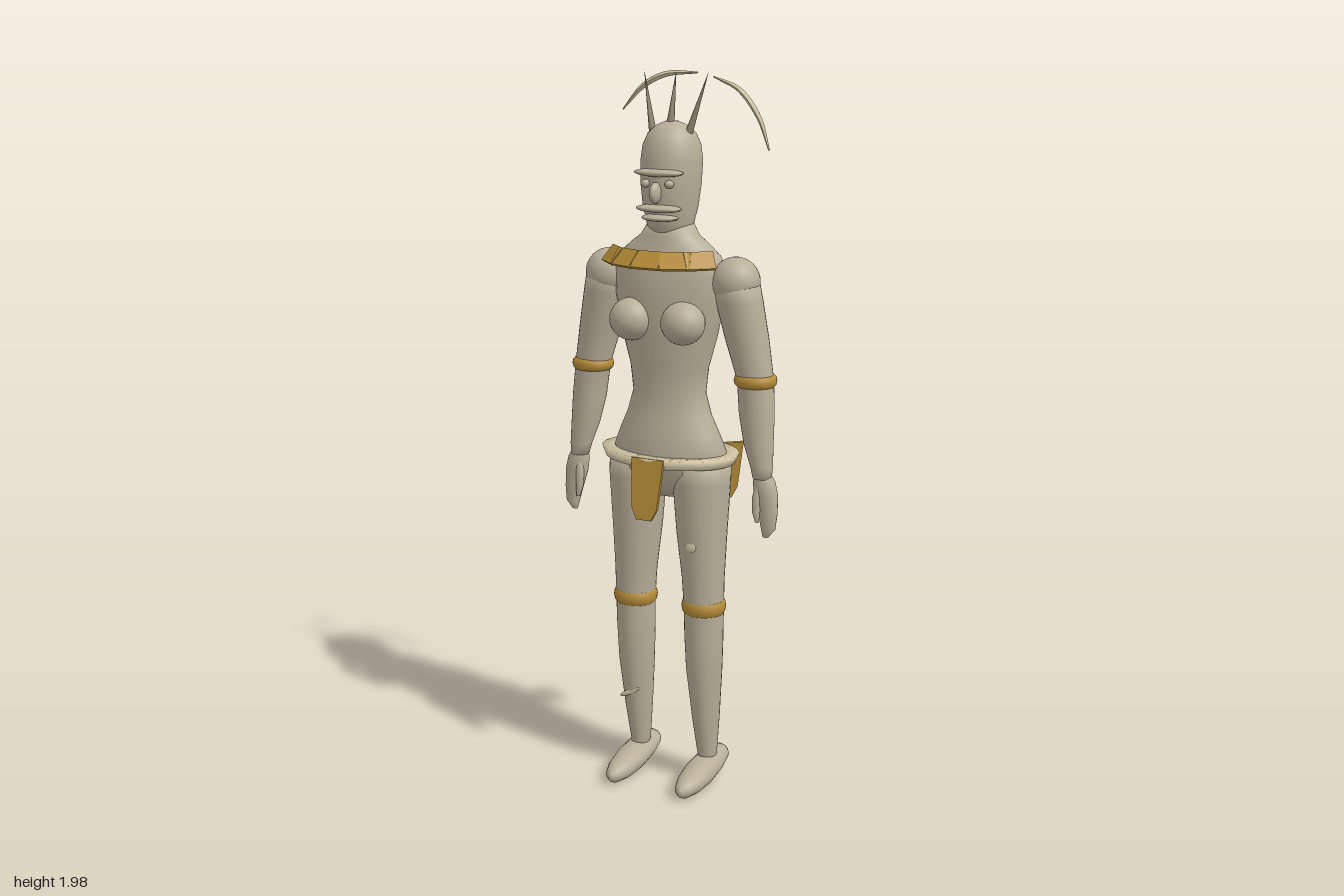
import * as THREE from 'three';

const mat = (name, color, side = THREE.FrontSide) => {
  const m = new THREE.MeshStandardMaterial({ color, side });
  m.name = name;
  return m;
};

// Closed body through elliptical sections [y, centreX, centreZ, radiusX, radiusZ], from bottom to top
function loft(rows, n = 28) {
  const pos = [], idx = [];
  for (const [y, cx, cz, rx, rz] of rows)
    for (let j = 0; j < n; j++) {
      const t = (j / n) * Math.PI * 2;
      pos.push(cx + rx * Math.sin(t), y, cz + rz * Math.cos(t));
    }
  for (let i = 0; i < rows.length - 1; i++)
    for (let j = 0; j < n; j++) {
      const a = i * n + j, b = i * n + (j + 1) % n;
      idx.push(a, b, b + n, a, b + n, a + n);
    }
  const last = rows.length - 1, c = rows.length * n;
  pos.push(rows[0][1], rows[0][0], rows[0][2], rows[last][1], rows[last][0], rows[last][2]);
  for (let j = 0; j < n; j++) {
    const k = (j + 1) % n;
    idx.push(c, k, j, c + 1, last * n + j, last * n + k);
  }
  const g = new THREE.BufferGeometry();
  g.setAttribute('position', new THREE.Float32BufferAttribute(pos, 3));
  g.setIndex(idx);
  g.computeVertexNormals();
  return g;
}

// Sections given as [y, halfWidth, front z, back z]
const centred = rows => rows.map(([y, w, f, b]) => [y, 0, (f + b) / 2, w, (f - b) / 2]);
// Mirror sections to the other side
const sided = (rows, s) => rows.map(([y, x, ...r]) => [y, s * x, ...r]);

export function createModel() {
  const model = new THREE.Group();
  const skin = mat('stone skin', 0xb8ae99);
  const gold = mat('gold', 0xb58c38);
  const pale = mat('pale cream', 0xd2c5a4);
  const horn = mat('dark horn', 0x857b66);

  const add = (name, geo, m, p = [0, 0, 0], r = [0, 0, 0], order = 'YXZ') => {
    const mesh = new THREE.Mesh(geo, m);
    mesh.name = name;
    mesh.position.set(...p);
    mesh.rotation.set(...r, order);
    model.add(mesh);
    return mesh;
  };
  const blob = (name, m, p, size, r) =>
    add(name, new THREE.SphereGeometry(1, 24, 16), m, p, r).scale.set(...size);

  // Torso from the crotch to the neck
  add('torso', loft(centred([
    [0.85, 0.05, 0.04, -0.045], [0.88, 0.1, 0.07, -0.075], [0.93, 0.155, 0.1, -0.1],
    [0.98, 0.165, 0.1, -0.1], [1.03, 0.145, 0.094, -0.087], [1.08, 0.122, 0.084, -0.075],
    [1.14, 0.105, 0.076, -0.068], [1.21, 0.113, 0.08, -0.073], [1.3, 0.138, 0.09, -0.086],
    [1.4, 0.158, 0.092, -0.092], [1.47, 0.162, 0.085, -0.086], [1.51, 0.148, 0.075, -0.077],
    [1.54, 0.115, 0.067, -0.068], [1.565, 0.082, 0.06, -0.062], [1.6, 0.06, 0.055, -0.06],
  ]), 36), skin);

  // Head and face
  add('head', loft(centred([
    [1.56, 0.058, 0.055, -0.058], [1.6, 0.064, 0.064, -0.066], [1.64, 0.073, 0.075, -0.08],
    [1.7, 0.08, 0.08, -0.09], [1.76, 0.082, 0.078, -0.095], [1.8, 0.077, 0.071, -0.09],
    [1.83, 0.064, 0.056, -0.076], [1.85, 0.043, 0.035, -0.053], [1.861, 0.018, 0.008, -0.026],
  ]), 32), skin);
  blob('brow', skin, [0, 1.733, 0.066], [0.072, 0.011, 0.031]);
  blob('nose', skin, [0, 1.682, 0.085], [0.014, 0.028, 0.025]);
  blob('upperLip', skin, [0, 1.64, 0.066], [0.066, 0.011, 0.034]);
  blob('lowerLip', skin, [0, 1.615, 0.06], [0.052, 0.01, 0.034]);
  for (const s of [-1, 1]) blob('eye', skin, [s * 0.035, 1.705, 0.074], [0.013, 0.011, 0.012]);

  // Three horns on the crown
  for (const s of [-1, 0, 1]) {
    const a = new THREE.Vector3(s * 0.05, s ? 1.82 : 1.85, 0), b = new THREE.Vector3(s * 0.095, 1.99, -0.034);
    const dir = b.clone().sub(a);
    const m = add('horn', new THREE.ConeGeometry(0.011, dir.length(), 10), horn);
    m.position.copy(a).lerp(b, 0.5);
    m.quaternion.setFromUnitVectors(new THREE.Vector3(0, 1, 0), dir.normalize());
  }

  // Curved plumes behind the head, tapered to their ends
  const plumes = [
    [[-0.2, 1.88], [-0.137, 1.944], [-0.068, 1.976], [0.027, 1.982]],
    [[0.073, 1.972], [0.148, 1.94], [0.205, 1.87], [0.236, 1.785]],
  ];
  for (const pts of plumes) {
    const curve = new THREE.CatmullRomCurve3(pts.map(([x, y]) => new THREE.Vector3(x, y, -0.108)));
    const g = new THREE.TubeGeometry(curve, 24, 0.008, 8);
    const p = g.attributes.position;
    for (let i = 0; i < p.count; i++) {
      const t = Math.floor(i / 9) / 24, c = curve.getPointAt(t);
      const k = 0.25 + 0.75 * Math.sin(Math.PI * t);
      p.setXYZ(i, c.x + (p.getX(i) - c.x) * k, c.y + (p.getY(i) - c.y) * k, c.z + (p.getZ(i) - c.z) * k);
    }
    g.computeVertexNormals();
    add('plume', g, pale);
  }

  // Collar of five sloping plates
  for (const [x, z, turn] of [[-0.128, 0.083, -0.75], [-0.074, 0.117, -0.38], [0, 0.13, 0],
    [0.074, 0.117, 0.38], [0.128, 0.083, 0.75]])
    add('collarPlate', new THREE.BoxGeometry(0.08, 0.052, 0.01), gold, [x, 1.512, z], [-0.68, turn, 0]);

  // Belt, an oval ring with a slight flare
  const ring = [[0.15, 0.95], [0.188, 0.95], [0.2, 0.977], [0.15, 0.977], [0.15, 0.95]];
  const beltGeo = new THREE.LatheGeometry(ring.map(([x, y]) => new THREE.Vector2(x, y)), 24);
  add('belt', beltGeo, pale).scale.z = 0.69;

  // Hanging tabs, one flat in front and two standing out behind
  const tab = new THREE.Shape([[-0.048, 0], [-0.038, -0.135], [-0.022, -0.167], [0.022, -0.167],
    [0.038, -0.135], [0.048, 0]].map(([x, y]) => new THREE.Vector2(x, y)));
  const tabGeo = new THREE.ExtrudeGeometry(tab, { depth: 0.01, bevelEnabled: false });
  tabGeo.translate(0, 0, -0.005);
  for (const [x, z, turn] of [[0, 0.13, 0], [0.113, -0.122, -2.4], [-0.113, -0.122, 2.4]])
    add('hangingTab', tabGeo, gold, [x, 0.977, z], [-0.15, turn, 0]);

  for (const s of [-1, 1]) {
    blob('breast', skin, [s * 0.077, 1.343, 0.077], [0.06, 0.058, 0.058]);

    // Arm
    blob('shoulder', skin, [s * 0.19, 1.45, -0.008], [0.066, 0.066, 0.064]);
    add('arm', loft(sided([
      [0.93, 0.281, 0.009, 0.026, 0.024], [0.96, 0.278, 0.007, 0.031, 0.028],
      [1.02, 0.266, 0.002, 0.041, 0.035], [1.1, 0.256, -0.006, 0.049, 0.042],
      [1.19, 0.248, -0.013, 0.05, 0.046], [1.3, 0.222, -0.013, 0.06, 0.054],
      [1.4, 0.2, -0.01, 0.064, 0.061], [1.46, 0.19, -0.008, 0.062, 0.062],
    ], s)), skin);
    const band = add('armBand', new THREE.TorusGeometry(0.05, 0.012, 10, 28), gold,
      [s * 0.248, 1.19, -0.013], [Math.PI / 2, 0, 0]);
    band.scale.set(0.95, 0.88, 1.4);
    add('hand', loft(sided([
      [0.768, 0.296, 0.016, 0.008, 0.006], [0.79, 0.303, 0.014, 0.02, 0.014],
      [0.83, 0.3, 0.011, 0.027, 0.019], [0.88, 0.293, 0.008, 0.034, 0.024],
      [0.92, 0.286, 0.007, 0.031, 0.027], [0.95, 0.281, 0.007, 0.018, 0.018],
    ], s), 16), skin);
    add('thumb', loft(sided([
      [0.81, 0.277, 0.03, 0.005, 0.005], [0.84, 0.273, 0.029, 0.011, 0.01],
      [0.88, 0.273, 0.026, 0.012, 0.011], [0.92, 0.277, 0.018, 0.009, 0.009],
    ], s), 12), skin);

    // Leg
    add('leg', loft(sided([
      [0.06, 0.11, -0.024, 0.023, 0.028], [0.09, 0.107, -0.022, 0.027, 0.033],
      [0.2, 0.107, -0.012, 0.038, 0.044], [0.35, 0.107, 0, 0.05, 0.055],
      [0.45, 0.107, 0.003, 0.054, 0.057], [0.54, 0.107, 0.005, 0.056, 0.056],
      [0.62, 0.105, 0.005, 0.059, 0.06], [0.75, 0.1, 0.004, 0.069, 0.074],
      [0.9, 0.098, 0.003, 0.079, 0.086], [0.96, 0.098, 0, 0.079, 0.086],
    ], s)), skin);
    blob('calf', skin, [s * 0.107, 0.41, -0.043], [0.034, 0.08, 0.027]);
    const knee = add('kneeBand', new THREE.TorusGeometry(0.046, 0.016, 12, 32), gold,
      [s * 0.107, 0.54, 0.005], [Math.PI / 2, 0, 0]);
    knee.scale.z = 1.6;

    // Foot, lofted along its length and laid forward
    const foot = loft(sided([
      [-0.1, 0.11, -0.065, 0.026, 0.018], [-0.085, 0.11, -0.063, 0.036, 0.024],
      [-0.03, 0.11, -0.054, 0.044, 0.033], [0.04, 0.11, -0.045, 0.045, 0.036],
      [0.1, 0.11, -0.038, 0.038, 0.03], [0.14, 0.11, -0.034, 0.024, 0.022],
      [0.156, 0.11, -0.032, 0.008, 0.011],
    ], s), 20);
    foot.rotateX(Math.PI / 2);
    add('foot', foot, skin);
  }

  // Pale painted marks on the back and legs
  blob('backMark', pale, [-0.08, 1.36, -0.074], [0.011, 0.065, 0.004], [0, Math.atan2(-0.38, -0.92), 0.4]);
  blob('thighMark', pale, [0.1, 0.725, 0.074], [0.016, 0.014, 0.004]);
  blob('shinMark', pale, [-0.112, 0.25, 0.037], [0.034, 0.008, 0.004], [-0.08, 0, 0.5]);

  return model;
}
